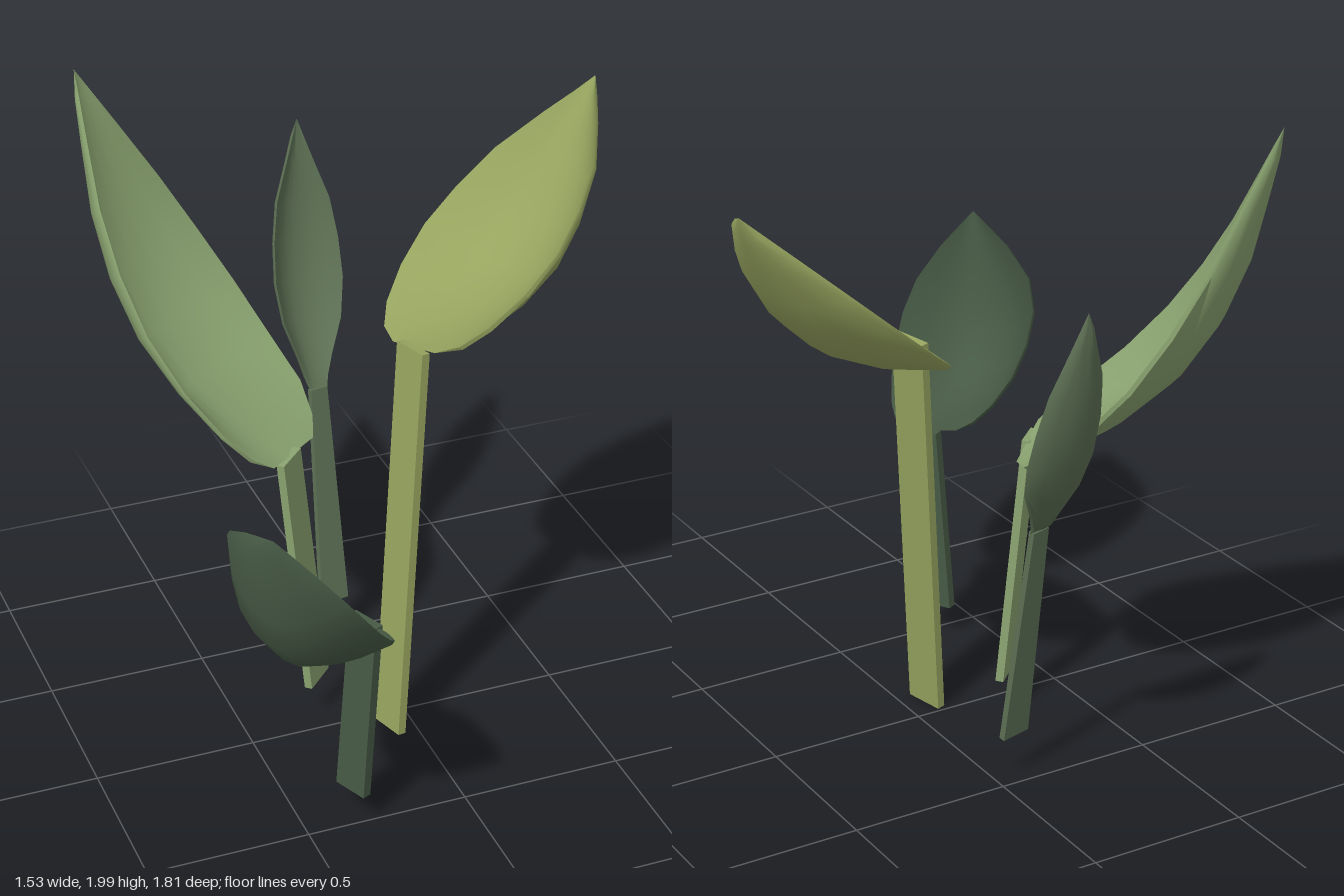
import * as THREE from 'three';
import { toCreasedNormals } from 'three/addons/utils/BufferGeometryUtils.js';

const V = (p) => new THREE.Vector3(...p);

// Stations along each blade, and the shared cup-depth curve
const T = [0, 0.04, 0.12, 0.25, 0.4, 0.55, 0.7, 0.85, 0.94, 1];
const SAG = [0, 0.18, 0.42, 0.8, 1, 0.96, 0.74, 0.37, 0.14, 0];
const OVATE = [0.32, 0.58, 0.78, 0.94, 1, 0.91, 0.73, 0.38, 0.14, 0];
const BROAD = [0.48, 0.72, 0.92, 1, 1, 0.87, 0.65, 0.33, 0.13, 0];
const SLIM = [0.27, 0.32, 0.5, 0.85, 1, 0.95, 0.78, 0.38, 0.15, 0];
const ROUND = [0.4, 0.58, 0.76, 0.92, 1, 1, 0.86, 0.5, 0.2, 0];

// across: width direction; half: half widths on its - and + sides;
// rim, cup: how far the rim and the middle sink below the base-tip line
const LEAVES = [
  { name: 'tallLeaf', color: 0x97a45f, foot: [-0.075, 0.01, 0.075], base: [0.035, 1.28, -0.01], tip: [0.765, 1.89, -0.36],
    across: [0.27, 0.23, 0.94], half: [0.32, 0.325], rim: 0.008, cup: 0.165, shape: OVATE, stem: [0.125, 0.027], taper: 1 },
  { name: 'longLeaf', color: 0x8aa370, foot: [-0.255, 0.13, -0.09], base: [-0.325, 0.93, -0.11], tip: [-0.75, 2, -0.73],
    across: [0.74, -0.12, -0.7], half: [0.2, 0.345], rim: 0.095, cup: 0.21, shape: BROAD, stem: [0.12, 0.025], taper: 0.95 },
  { name: 'slimLeaf', color: 0x5d7054, foot: [-0.06, 0.15, -0.46], base: [-0.06, 0.87, -0.58], tip: [0, 1.65, -0.9],
    across: [0.94, -0.15, -0.19], half: [0.113, 0.135], rim: 0.015, cup: 0.08, shape: SLIM, stem: [0.1, 0.02], taper: 0.6 },
  { name: 'cuppedLeaf', color: 0x475a45, foot: [-0.345, 0.11, 0.465], base: [-0.315, 0.72, 0.5], tip: [-0.71, 1.28, 0.86],
    across: [0.44, -0.1, 0.89], half: [0.285, 0.2], rim: 0.03, cup: 0.22, shape: ROUND, stem: [0.11, 0.03], taper: 0.95 },
];

// Cupped blade: closed cross-sections of an upper and a lower curve, joined in loops
function bladeGeometry({ base, tip, across, half, rim, cup, shape }) {
  const b = V(base), axis = V(tip).sub(b), dir = axis.clone().normalize();
  const side = V(across);
  side.addScaledVector(dir, -side.dot(dir)).normalize();
  const up = side.clone().cross(dir).normalize();
  if (up.y < 0) { up.negate(); side.negate(); half = [half[1], half[0]]; }
  const N = 8, ring = 2 * (N + 1), pos = [], idx = [];
  T.forEach((t, i) => {
    const thick = i === 0 || i === T.length - 1 ? 0 : 0.014;
    for (let k = 0; k < ring; k++) {
      const lower = k > N;
      const u = lower ? 1 - 2 * (k - N - 1) / N : -1 + 2 * k / N;
      const w = u * shape[i] * (u < 0 ? half[0] : half[1]);
      const sag = SAG[i] * (rim + (cup - rim) * (1 - Math.abs(u) ** 2.2));
      const p = b.clone().addScaledVector(axis, t).addScaledVector(side, w)
        .addScaledVector(up, -sag - (lower ? thick : 0));
      pos.push(p.x, p.y, p.z);
    }
  });
  for (let i = 0; i < T.length - 1; i++) {
    for (let k = 0; k < ring; k++) {
      const a = i * ring + k, c = i * ring + (k + 1) % ring;
      idx.push(a, c, a + ring, c, c + ring, a + ring);
    }
  }
  // side x dir = up, so this winding faces outward
  const g = new THREE.BufferGeometry();
  g.setAttribute('position', new THREE.Float32BufferAttribute(pos, 3));
  g.setIndex(idx);
  return toCreasedNormals(g, 0.9);
}

// Flat strap stem from foot to blade base, narrowing by taper
function stemGeometry({ foot, base, across, stem, taper }) {
  const a = V(foot), b = V(base), dir = b.clone().sub(a).normalize();
  const x = V(across);
  x.addScaledVector(dir, -x.dot(dir)).normalize();
  const g = new THREE.BoxGeometry(stem[0], a.distanceTo(b), stem[1]), p = g.attributes.position;
  for (let i = 0; i < p.count; i++) if (p.getY(i) > 0) p.setX(i, p.getX(i) * taper);
  g.applyMatrix4(new THREE.Matrix4().makeBasis(x, dir, x.clone().cross(dir)).setPosition(a.add(b).multiplyScalar(0.5)));
  g.computeVertexNormals();
  return g;
}

export function createModel() {
  const model = new THREE.Group();
  model.name = 'leafCluster';
  for (const leaf of LEAVES) {
    const group = new THREE.Group();
    group.name = leaf.name;
    const material = new THREE.MeshStandardMaterial({ color: leaf.color, side: THREE.DoubleSide });
    const blade = new THREE.Mesh(bladeGeometry(leaf), material);
    blade.name = 'blade';
    const stem = new THREE.Mesh(stemGeometry(leaf), material);
    stem.name = 'stem';
    group.add(blade, stem);
    model.add(group);
  }
  return model;
}
